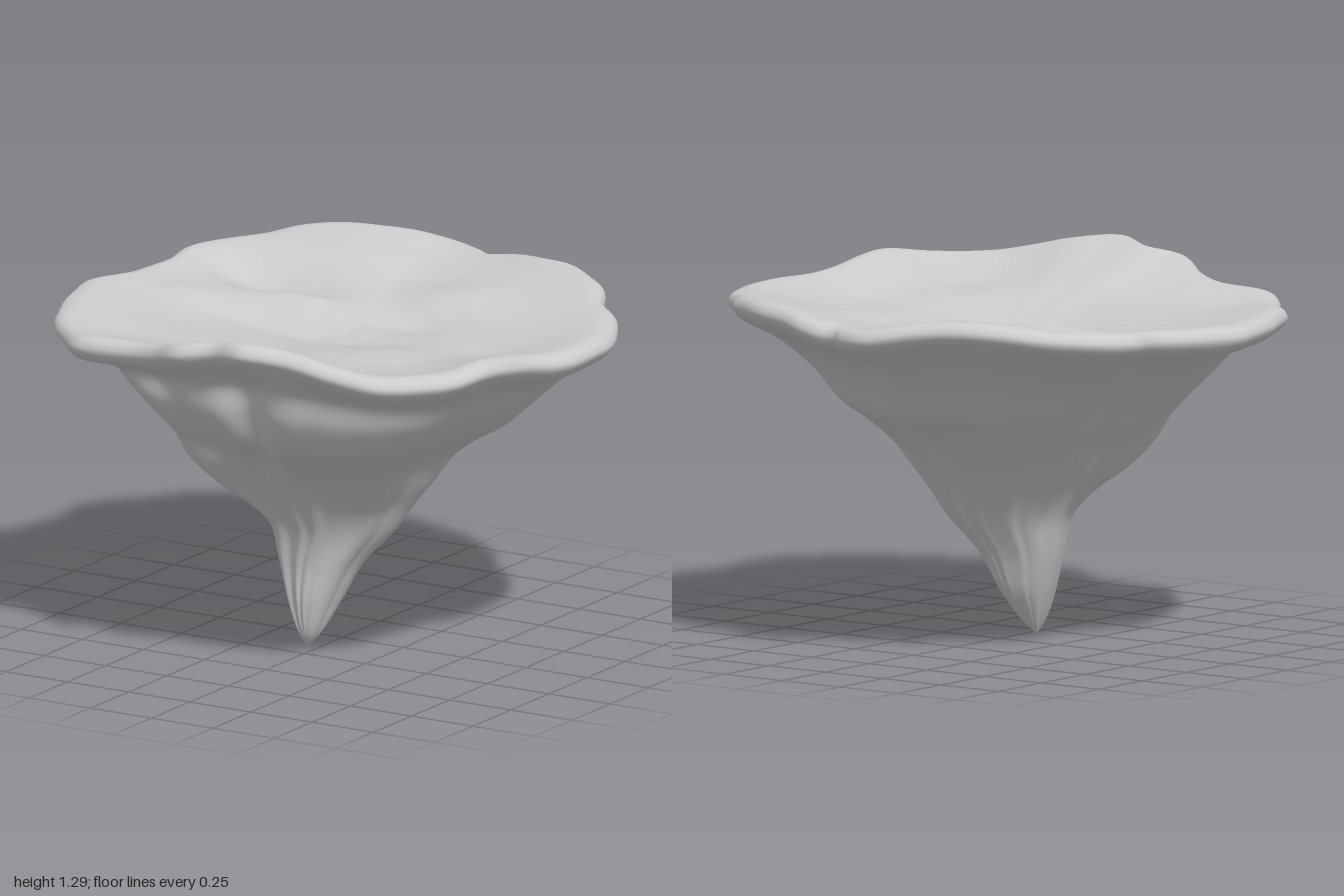
import * as THREE from 'three';
import { mergeVertices } from 'three/addons/utils/BufferGeometryUtils.js';

// Wavy rim seen from above: x, height, z
const RIM = [
  [1, 1.19, -0.05], [0.97, 1.19, 0.14], [0.93, 1.21, 0.27], [0.92, 1.24, 0.5], [0.84, 1.22, 0.68],
  [0.66, 1.22, 0.83], [0.5, 1.25, 0.89], [0.36, 1.28, 0.91], [0.18, 1.3, 0.96], [0.04, 1.28, 0.92],
  [-0.1, 1.26, 0.94], [-0.24, 1.22, 0.87], [-0.36, 1.2, 0.82], [-0.58, 1.19, 0.81], [-0.7, 1.17, 0.7],
  [-0.85, 1.18, 0.53], [-0.93, 1.18, 0.35], [-1, 1.18, 0.1], [-0.93, 1.18, -0.1], [-0.89, 1.19, -0.25],
  [-0.9, 1.2, -0.4], [-0.82, 1.21, -0.56], [-0.72, 1.22, -0.65], [-0.63, 1.24, -0.76], [-0.48, 1.25, -0.83],
  [-0.3, 1.24, -0.9], [-0.13, 1.21, -0.96], [0, 1.2, -0.92], [0.06, 1.2, -0.89], [0.15, 1.21, -0.9],
  [0.3, 1.23, -0.85], [0.45, 1.24, -0.8], [0.65, 1.23, -0.67], [0.75, 1.21, -0.53], [0.88, 1.2, -0.4],
  [0.95, 1.19, -0.28],
];

// Underside cross-sections: y, xMin, xMax, zMin, zMax, share of rim waviness
const UNDER = [
  [1.05, -0.82, 0.84, -0.78, 0.78, 0.4],
  [0.95, -0.7, 0.74, -0.66, 0.74, 0.2],
  [0.84, -0.58, 0.62, -0.57, 0.65, 0.1],
  [0.78, -0.52, 0.52, -0.48, 0.56, 0],
  [0.7, -0.43, 0.42, -0.38, 0.47, 0],
  [0.6, -0.34, 0.35, -0.28, 0.37, 0],
  [0.52, -0.27, 0.29, -0.22, 0.32, 0],
  [0.43, -0.21, 0.23, -0.16, 0.27, 0],
  [0.3, -0.17, 0.12, -0.07, 0.24, 0],
  [0.16, -0.12, 0.05, 0.0, 0.23, 0],
  [0.05, -0.07, 0.0, 0.1, 0.2, 0],
  [0, -0.04, -0.04, 0.16, 0.16, 0],
];

// Mounds and dents of the upper ground: x, z, spread x, spread z, height
const MOUNDS = [
  [-0.35, -0.62, 0.35, 0.15, 0.03], [-0.55, -0.33, 0.25, 0.12, -0.06], [-0.3, -0.18, 0.2, 0.08, 0.04],
  [-0.6, -0.02, 0.16, 0.09, 0.03], [0.2, -0.42, 0.25, 0.12, 0.03], [0.15, -0.18, 0.2, 0.1, -0.03],
  [-0.1, 0.06, 0.3, 0.1, -0.03], [-0.35, 0.4, 0.2, 0.12, 0.02], [0.32, 0.32, 0.18, 0.18, 0.03],
  [0.65, 0.1, 0.15, 0.2, -0.02],
];

// Ridges and hollows of the rock: angle from +x towards +z, y, angle spread, y spread, amount
const RIDGES = [
  [2.36, 0.63, 0.4, 0.13, 0.27], [1.25, 0.82, 0.35, 0.1, 0.05], [0.8, 0.47, 0.5, 0.14, -0.2],
  [1.86, 0.95, 0.14, 0.2, 0.06], [1.52, 0.92, 0.15, 0.18, -0.06], [1.25, 1.0, 0.17, 0.15, 0.04],
  [1.65, 0.6, 0.3, 0.06, 0.04], [-1.25, 0.65, 0.2, 0.28, 0.07], [-0.6, 0.9, 0.25, 0.15, -0.05],
  [-0.95, 0.95, 0.2, 0.2, -0.03], [0.2, 0.85, 0.3, 0.15, -0.03],
];
const bell = (u, v, su, sv, h) => h * Math.exp(-((u / su) ** 2) - (v / sv) ** 2);
const turn = (a) => Math.atan2(Math.sin(a), Math.cos(a));

// One strand from the middle of the ground, over the lip and down to the tip
function strand(r) {
  const pts = [];
  const a = Math.atan2(r.z, r.x);
  // ground as a shallow bowl that runs smoothly up to the rim
  for (const f of [0, 0.1, 0.2, 0.3, 0.4, 0.5, 0.6, 0.7, 0.8, 0.88]) {
    const x = r.x * f, z = r.z * f;
    let y = THREE.MathUtils.lerp(1.1 - 0.03 * z, r.y, Math.min(1, f / 0.96) ** 2);
    for (const [cx, cz, sx, sz, h] of MOUNDS) y += bell(x - cx, z - cz, sx, sz, h) * (1 - f ** 4);
    pts.push(new THREE.Vector3(x, y, z));
  }
  // rounded, scalloped lip
  const k = 0.997 + 0.004 * Math.sin(23 * a);
  for (const [f, dy] of [[0.945, -0.008], [0.985, -0.02], [1, -0.05], [0.97, -0.09]]) {
    pts.push(new THREE.Vector3(r.x * f * k, r.y + dy, r.z * f * k));
  }
  // tapering rock
  for (const [y, x0, x1, z0, z1, wave] of UNDER) {
    let s = 1.035;
    for (const [ca, cy, sa, sy, h] of RIDGES) s += bell(turn(a - ca), y - cy, sa, sy, h);
    pts.push(new THREE.Vector3(
      (x0 + x1) / 2 + (x1 - x0) / 2 * r.x * s,
      y + wave * (r.y - 1.2),
      (z0 + z1) / 2 + (z1 - z0) / 2 * r.z * s));
  }
  return new THREE.CatmullRomCurve3(pts).getPoints((pts.length - 1) * 5);
}

export function createModel() {
  const group = new THREE.Group();
  group.name = 'floatingIsland';

  const cols = 216;
  const rim = new THREE.CatmullRomCurve3(RIM.map((p) => new THREE.Vector3(...p)), true);
  const strands = Array.from({ length: cols }, (_, i) => strand(rim.getPoint(i / cols)));
  const rows = strands[0].length;

  const positions = [], index = [];
  strands.forEach((s, i) => {
    for (const p of s) positions.push(p.x, p.y, p.z);
    const next = ((i + 1) % cols) * rows;
    for (let j = 0; j < rows - 1; j++) {
      const a = i * rows + j, c = next + j;
      if (j > 0) index.push(a, c, a + 1);
      if (j < rows - 2) index.push(c, c + 1, a + 1);
    }
  });

  let geometry = new THREE.BufferGeometry();
  geometry.setAttribute('position', new THREE.Float32BufferAttribute(positions, 3));
  geometry.setIndex(index);
  geometry = mergeVertices(geometry, 1e-5);
  geometry.computeVertexNormals();

  const island = new THREE.Mesh(geometry, new THREE.MeshStandardMaterial({ color: 0xcccccc }));
  island.name = 'islandRock';
  group.add(island);
  return group;
}
